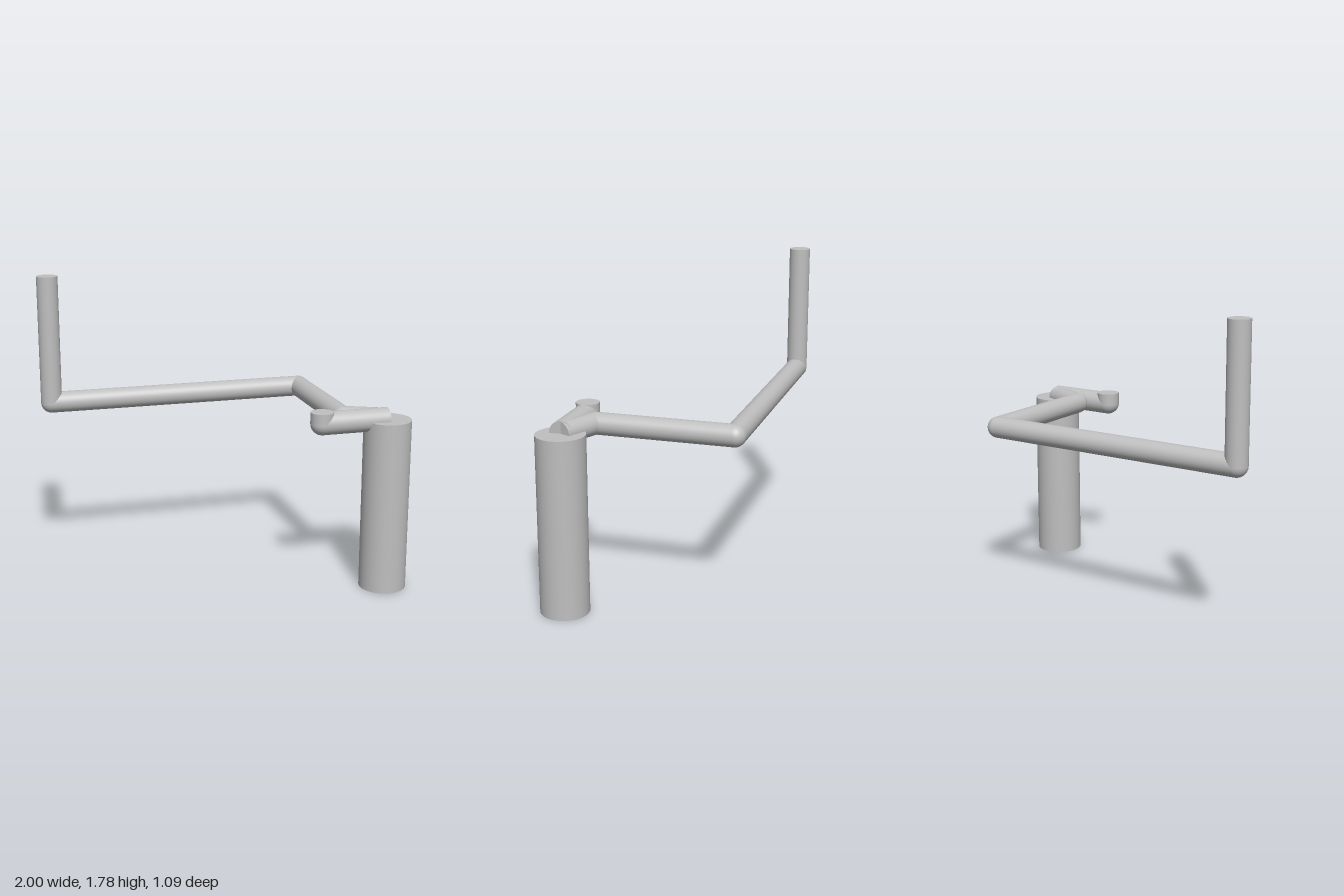
import * as THREE from 'three';

const grey = new THREE.MeshStandardMaterial({ color: 0xbfbfbf });
grey.name = 'grey';

// Straight capped cylinder between two points
function rod(name, a, b, radius) {
  const dir = b.clone().sub(a);
  const mesh = new THREE.Mesh(new THREE.CylinderGeometry(radius, radius, dir.length(), 48), grey);
  mesh.name = name;
  mesh.position.copy(a).add(b).multiplyScalar(0.5);
  mesh.quaternion.setFromUnitVectors(new THREE.Vector3(0, 1, 0), dir.normalize());
  return mesh;
}

// Chain of rods with a ball joint at every inner corner
function pipe(name, radius, coords) {
  const group = new THREE.Group();
  group.name = name;
  const pts = coords.map((c) => new THREE.Vector3(...c));
  for (let i = 0; i < pts.length - 1; i++) {
    group.add(rod(`${name}Section${i + 1}`, pts[i], pts[i + 1], radius));
    if (i > 0) {
      const elbow = new THREE.Mesh(new THREE.SphereGeometry(radius, 48, 24), grey);
      elbow.name = `${name}Elbow${i}`;
      elbow.position.copy(pts[i]);
      group.add(elbow);
    }
  }
  return group;
}

export function createModel() {
  const model = new THREE.Group();
  model.name = 'pipework';
  const y = 1.023;
  const x = 0.862, z = 0.409;

  // Upright tank
  model.add(rod('tank', new THREE.Vector3(x, 0, z), new THREE.Vector3(x, 1.02, z), 0.138));

  // Long pipe from the tank to the far riser
  model.add(pipe('longPipe', 0.0625, [
    [0.858, y, 0.407], [0.627, y, 0.3], [0.627, y, -0.485], [-0.9375, y, -0.485], [-0.9375, 1.785, -0.485],
  ]));

  // Short pipe with a stub riser
  model.add(pipe('shortPipe', 0.067, [
    [0.858, y, 0.407], [0.463, y, 0.407], [0.463, 1.09, 0.407],
  ]));
  return model;
}
